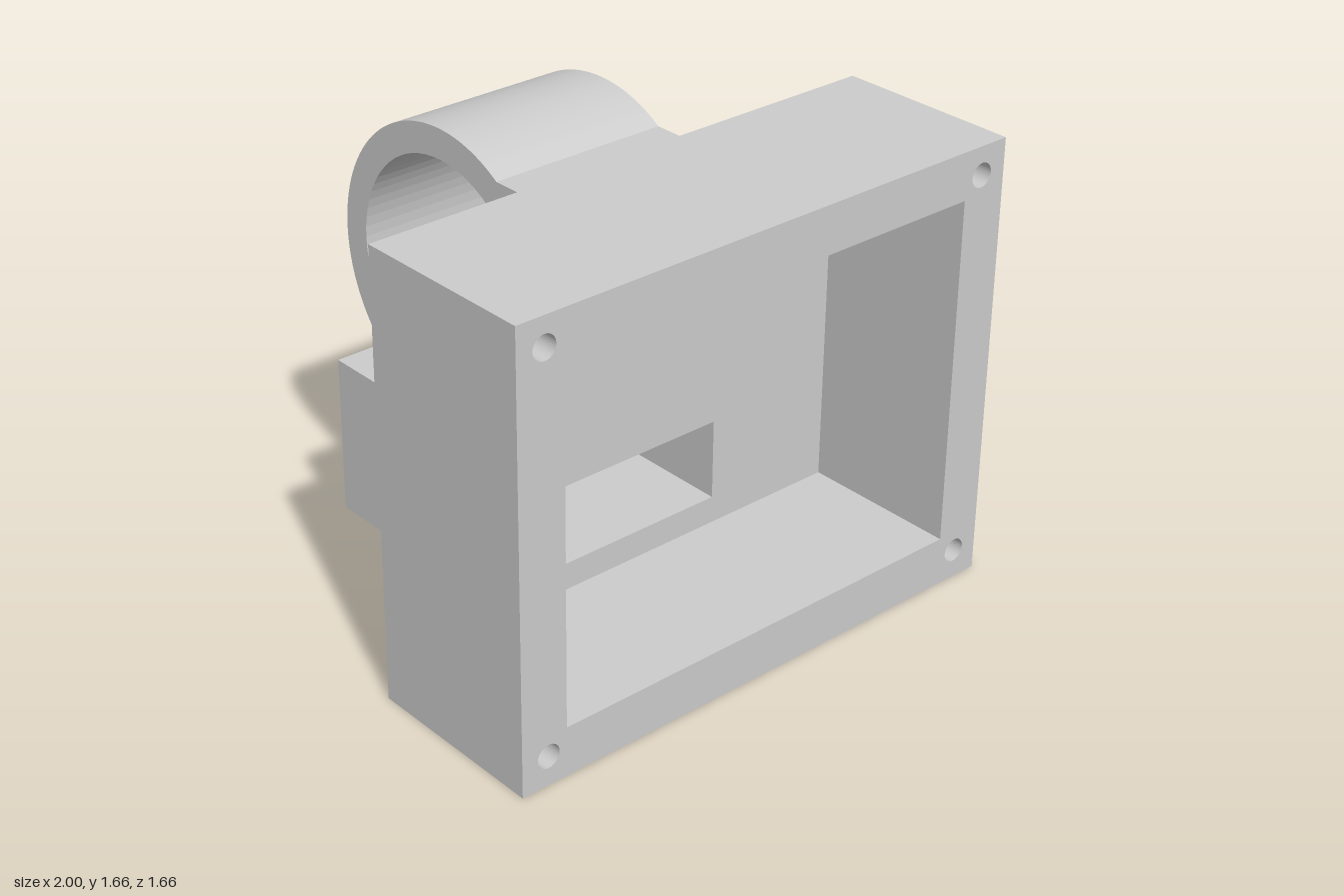
import * as THREE from 'three';
import { mergeGeometries } from 'three/addons/utils/BufferGeometryUtils.js';

const material = new THREE.MeshStandardMaterial({ color: 0xcccccc });

// Counter-clockwise outlines in the xy plane
const rect = (x0, x1, y0, y1) => [[x0, y0], [x1, y0], [x1, y1], [x0, y1]].map((p) => new THREE.Vector2(...p));
const circle = (x, y, r, n = 32) => Array.from({ length: n }, (_, i) => {
  const a = (i / n) * Math.PI * 2;
  return new THREE.Vector2(x + r * Math.cos(a), y + r * Math.sin(a));
});

// Flat face with holes at depth z, facing +z (dir 1) or -z (dir -1)
function face(outline, z, dir = 1, holes = []) {
  const shape = new THREE.Shape(outline);
  shape.holes = holes.map((h) => new THREE.Path(h));
  const g = new THREE.ShapeGeometry(shape).toNonIndexed();
  if (dir < 0) {
    const p = g.attributes.position;
    for (let i = 0; i < p.count; i += 3) {
      const [x, y] = [p.getX(i), p.getY(i)];
      p.setXY(i, p.getX(i + 1), p.getY(i + 1));
      p.setXY(i + 1, x, y);
    }
  }
  return finish(g.translate(0, 0, z));
}

// Side walls along an outline, facing outward or inward
function walls(outline, z0, z1, inward = false) {
  const pts = inward ? [...outline].reverse() : outline;
  const pos = [];
  pts.forEach((a, i) => {
    const b = pts[(i + 1) % pts.length];
    pos.push(a.x, a.y, z0, b.x, b.y, z0, b.x, b.y, z1);
    pos.push(a.x, a.y, z0, b.x, b.y, z1, a.x, a.y, z1);
  });
  const g = new THREE.BufferGeometry();
  g.setAttribute('position', new THREE.Float32BufferAttribute(pos, 3));
  return finish(g);
}

function finish(g) {
  g.deleteAttribute('uv');
  g.computeVertexNormals();
  return g;
}

function part(name, geometry) {
  const mesh = new THREE.Mesh(geometry, material);
  mesh.name = name;
  return mesh;
}

export function createModel() {
  const group = new THREE.Group();
  group.name = 'housing';

  const FRONT = 0.83, FLOOR = 0.245, BACK = 0.15;
  const body = rect(-1, 1, 0, 1.61);
  const pocket = rect(-0.825, 0.825, 0.18, 1.44);
  const slot = rect(-0.43, 0.31, 0.28, 0.575);
  const screwHoles = [];
  for (const x of [-0.897, 0.897]) for (const y of [0.107, 1.508]) screwHoles.push(circle(x, y, 0.043));

  // Open-fronted case with a slot in its back wall and blind screw holes
  group.add(part('case', mergeGeometries([
    walls(body, BACK, FRONT),
    face(body, FRONT, 1, [pocket, ...screwHoles]),
    walls(pocket, FLOOR, FRONT, true),
    face(pocket, FLOOR, 1, [slot]),
    walls(slot, BACK, FLOOR, true),
    face(body, BACK, -1, [slot]),
    ...screwHoles.flatMap((h) => [walls(h, FLOOR, FRONT, true), face(h, FLOOR)]),
  ])));

  // Hollow box behind the case, opening through the slot
  const box = rect(-0.53, 0.405, 0.12, 0.705);
  group.add(part('rearBox', mergeGeometries([
    walls(box, -0.73, BACK),
    face(box, -0.73, -1),
    walls(slot, -0.63, BACK, true),
    face(slot, -0.63),
  ])));

  // Ring clamp with its mounting block, drawn from the side (shape x = -z)
  const cu = 0.3, cy = 1.13, r = 0.53, top = 1.575, bottom = 0.705;
  const profile = new THREE.Shape();
  profile.moveTo(-BACK, bottom);
  profile.lineTo(-BACK, top);
  profile.absarc(cu, cy, r, Math.PI - Math.asin((top - cy) / r), Math.asin((bottom - cy) / r), true);
  profile.closePath();
  profile.holes.push(new THREE.Path().absarc(cu, cy, 0.423, 0, Math.PI * 2, false));
  const ring = new THREE.ExtrudeGeometry(profile, { depth: 0.67, bevelEnabled: false, curveSegments: 36 });
  ring.rotateY(Math.PI / 2).translate(-0.395, 0, 0);
  group.add(part('ringClamp', ring));

  return group;
}
